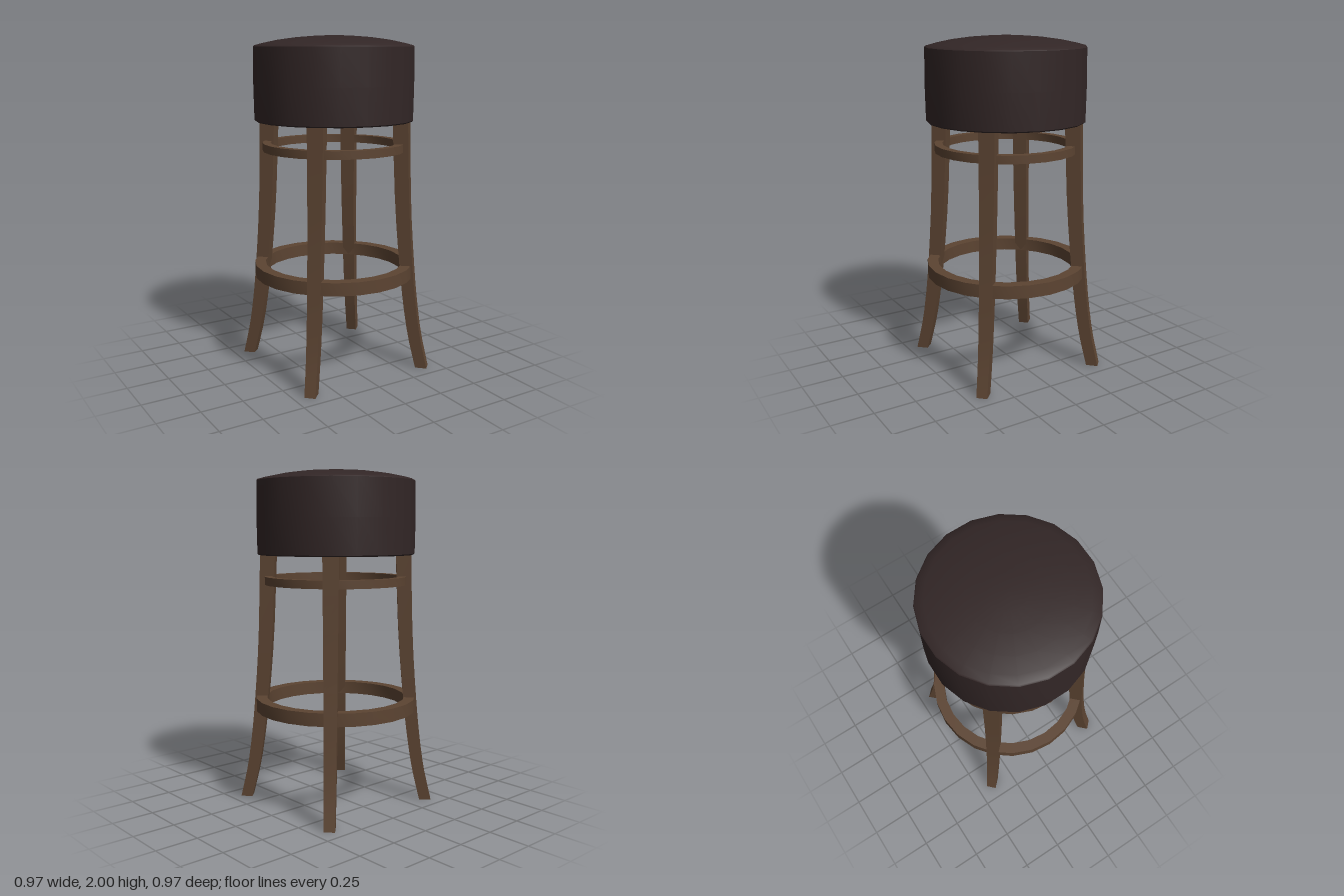
import * as THREE from 'three';
import { toCreasedNormals } from 'three/addons/utils/BufferGeometryUtils.js';

const wood = new THREE.MeshStandardMaterial({ color: 0x5c4432 });
wood.name = 'brown wood';
const leather = new THREE.MeshStandardMaterial({ color: 0x322626 });
leather.name = 'dark leather';

// Turned shape with sharp edges kept; profile runs [radius, height]
function turned(name, profile, sides, start, material) {
  const points = profile.map(([r, y]) => new THREE.Vector2(r, y));
  const geometry = new THREE.LatheGeometry(points, sides, start);
  const mesh = new THREE.Mesh(toCreasedNormals(geometry, 0.6), material);
  mesh.name = name;
  return mesh;
}

function ring(name, inner, outer, bottom, top) {
  const profile = [[outer, bottom], [outer, top], [inner, top], [inner, bottom], [outer, bottom]];
  return turned(name, profile, 24, 0, wood);
}

// Splayed leg: a box bent along a curve, thicker towards the top
function legGeometry() {
  const height = 1.52;
  const curve = new THREE.CatmullRomCurve3([
    [0.554, 0], [0.508, 0.2], [0.475, 0.42], [0.451, 0.65], [0.424, 1.0], [0.404, height],
  ].map(([r, y]) => new THREE.Vector3(0, y, r)));
  const geometry = new THREE.BoxGeometry(1, 1, 1, 1, 12, 1);
  const pos = geometry.attributes.position;
  for (let i = 0; i < pos.count; i++) {
    const t = pos.getY(i) + 0.5;
    const centre = curve.getPoint(t);
    const k = centre.y / height;
    const width = THREE.MathUtils.lerp(0.064, 0.092, k);
    const depth = THREE.MathUtils.lerp(0.07, 0.09, k);
    pos.setXYZ(i, pos.getX(i) * width, centre.y, centre.z + pos.getZ(i) * depth);
  }
  geometry.computeVertexNormals();
  return geometry;
}

export function createModel() {
  const stool = new THREE.Group();
  stool.name = 'barStool';

  // Padded seat with a shallow domed top
  stool.add(turned('seat', [
    [0, 1.505], [0.464, 1.505], [0.471, 1.512], [0.474, 1.72], [0.471, 1.935], [0.464, 1.942],
    [0.42, 1.954], [0.33, 1.973], [0.22, 1.988], [0.1, 1.997], [0, 2],
  ], 20, Math.PI / 20, leather));

  // Four legs on the diagonals
  const leg = legGeometry();
  const names = ['frontLeftLeg', 'backLeftLeg', 'backRightLeg', 'frontRightLeg'];
  names.forEach((name, i) => {
    const mesh = new THREE.Mesh(leg, wood);
    mesh.name = name;
    mesh.rotation.y = Math.PI / 4 + i * Math.PI / 2;
    stool.add(mesh);
  });

  // Hoops joining the legs
  stool.add(ring('footRing', 0.42, 0.485, 0.568, 0.645));
  stool.add(ring('upperRing', 0.38, 0.427, 1.328, 1.376));

  return stool;
}
